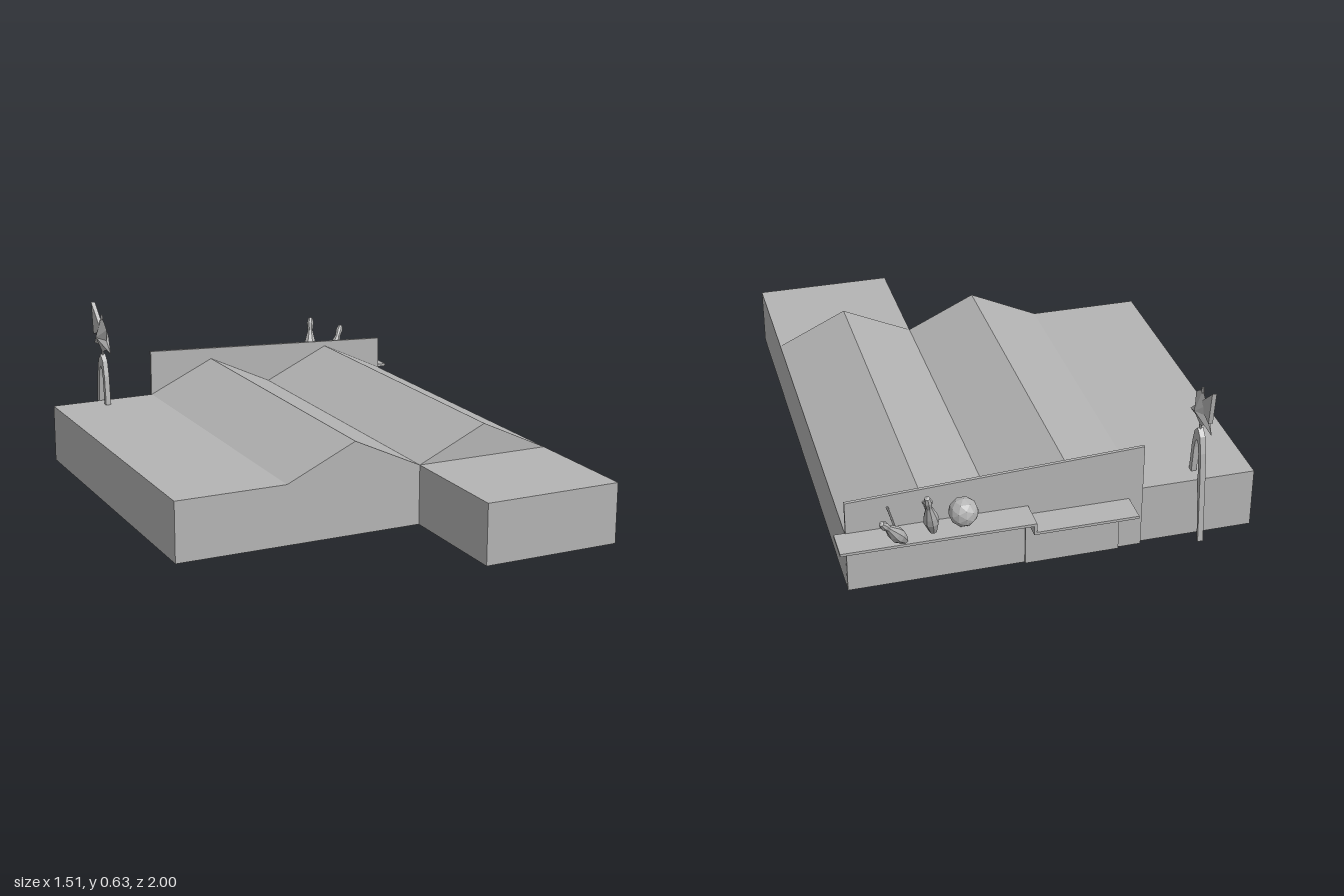
import * as THREE from 'three';

export function createModel() {
  const model = new THREE.Group();
  const gray = new THREE.MeshStandardMaterial({ color: 0xb4b4b4, flatShading: true, side: THREE.DoubleSide });
  gray.name = 'gray';

  const add = (name, geometry, parent = model) => {
    const mesh = new THREE.Mesh(geometry, gray);
    mesh.name = name;
    parent.add(mesh);
    return mesh;
  };
  const toShape = (pts) => new THREE.Shape(pts.map(([x, y]) => new THREE.Vector2(x, y)));
  // Box given by its two extreme corners
  const box = (name, [x0, y0, z0], [x1, y1, z1]) =>
    add(name, new THREE.BoxGeometry(x1 - x0, y1 - y0, z1 - z0)
      .translate((x0 + x1) / 2, (y0 + y1) / 2, (z0 + z1) / 2));
  // Flat outline facing along z
  const panel = (name, pts, z) => add(name, new THREE.ShapeGeometry(toShape(pts)).translate(0, 0, z));
  // Strip that sweeps a line of (x, y) points between two depths
  const sweepZ = (name, pts, z0, z1) => {
    const pos = [], idx = [];
    pts.forEach(([x, y], i) => {
      pos.push(x, y, z0, x, y, z1);
      if (i) idx.push(2 * i - 2, 2 * i - 1, 2 * i + 1, 2 * i - 2, 2 * i + 1, 2 * i);
    });
    const g = new THREE.BufferGeometry();
    g.setAttribute('position', new THREE.Float32BufferAttribute(pos, 3));
    g.setIndex(idx);
    const flat = g.toNonIndexed();
    flat.computeVertexNormals();
    return add(name, flat);
  };
  // Plate drawn in (z, y), with its thickness centred along x
  const plateX = (pts, thick) => new THREE.ExtrudeGeometry(toShape(pts), { depth: thick, bevelEnabled: false })
    .translate(0, 0, -thick / 2).rotateY(-Math.PI / 2);

  // Hollow building: open underneath, flat roof with two long ridges
  const L = -0.755, M = 0.19, R = 0.715, back = -0.8, mid = 0.525, front = 1;
  const low = 0.01, eave = 0.235, ridge = 0.358;
  const roof = [[L, eave], [-0.335, eave], [-0.07, ridge], [M, eave], [0.455, ridge], [R, eave]];
  sweepZ('ridgedRoof', roof, back, mid);
  sweepZ('frontWingRoof', [[M, eave], [R, eave]], mid, front);
  panel('backWall', [[L, low], [R, low], ...[...roof].reverse()], back);
  panel('frontWall', [[L, low], [M, low], [M, eave], [-0.07, ridge], [-0.335, eave], [L, eave]], mid);
  panel('frontGable', [[M, eave], [R, eave], [0.455, ridge]], mid);
  panel('frontWingWall', [[M, low], [R, low], [R, eave], [M, eave]], front);
  sweepZ('rightWall', [[L, low], [L, eave]], back, mid);
  sweepZ('frontWingSideWall', [[M, low], [M, eave]], mid, front);
  sweepZ('leftWall', [[R, low], [R, eave]], back, front);

  // Sloping false facade on the back
  add('facade', new THREE.ExtrudeGeometry(
    toShape([[-0.335, low], [R, low], [R, 0.365], [-0.335, 0.415]]),
    { depth: 0.012, bevelEnabled: false }).translate(0, 0, -0.814));
  box('entrance', [-0.25, low, -0.822], [0.09, 0.17, -0.812]);

  // Stepped canopy
  box('upperCanopy', [0.08, 0.235, -0.925], [0.755, 0.245, -0.81]);
  box('canopyStep', [0.08, 0.2, -0.925], [0.09, 0.235, -0.81]);
  box('lowerCanopy', [-0.285, 0.2, -0.925], [0.08, 0.21, -0.81]);

  // Ball and two leaning pins held by rods
  add('ball', new THREE.IcosahedronGeometry(0.052, 1).translate(0.32, 0.295, -0.86));
  const pinProfile = [[0, 0], [0.014, 0], [0.027, 0.3], [0.024, 0.45], [0.011, 0.7], [0.015, 0.87], [0.009, 0.98], [0, 1]];
  const addPin = (base, head, rodX) => {
    const a = new THREE.Vector3(...base), d = new THREE.Vector3(...head).sub(a);
    const len = d.length();
    const pin = add('pin', new THREE.LatheGeometry(pinProfile.map(([r, t]) => new THREE.Vector2(r, t * len)), 8));
    pin.position.copy(a);
    pin.quaternion.setFromUnitVectors(new THREE.Vector3(0, 1, 0), d.normalize());
    add('pinRod', new THREE.CylinderGeometry(0.004, 0.004, 0.12, 6).rotateX(Math.PI / 2).translate(rodX, 0.326, -0.87));
  };
  addPin([0.435, 0.27, -0.905], [0.468, 0.448, -0.968], 0.447);
  addPin([0.533, 0.25, -0.905], [0.628, 0.392, -0.993], 0.57);

  // Roadside sign: tapered arch carrying a spiked star
  const sign = new THREE.Group();
  sign.name = 'sign';
  sign.position.set(-0.55, 0, -0.775);
  model.add(sign);
  const outer = [[0.07, 0], [0.052, 0.25], [0.042, 0.35], [0.026, 0.41]];
  const inner = [[0.06, 0], [0.03, 0.25], [0.021, 0.34], [0.012, 0.375]];
  const flip = (pts) => pts.map(([z, y]) => [-z, y]);
  add('arch', plateX([...outer, [0, 0.435], ...flip(outer).reverse(),
    ...flip(inner), [0, 0.385], ...[...inner].reverse()], 0.02), sign);
  add('signPole', new THREE.CylinderGeometry(0.005, 0.005, 0.17, 6).translate(0, 0.51, 0), sign);
  add('flatSpike', plateX([[-0.102, 0.628], [-0.085, 0.5], [0.01, 0.53]], 0.016), sign);

  // Star outline in (z, y), bulging towards both sides
  const star = [[0, 0.585], [0.035, 0.565], [0.058, 0.545], [0.05, 0.5], [0.1, 0.455], [0.035, 0.458],
    [0, 0.44], [-0.035, 0.465], [-0.102, 0.46], [-0.05, 0.51], [-0.045, 0.55]];
  const tri = [];
  for (const side of [1, -1]) {
    star.forEach(([z, y], i) => {
      const [z2, y2] = star[(i + 1) % star.length];
      const a = [0, y, z], b = [0, y2, z2];
      tri.push(side * 0.027, 0.505, 0, ...(side > 0 ? [...a, ...b] : [...b, ...a]));
    });
  }
  const starGeometry = new THREE.BufferGeometry();
  starGeometry.setAttribute('position', new THREE.Float32BufferAttribute(tri, 3));
  starGeometry.computeVertexNormals();
  add('star', starGeometry, sign);

  return model;
}
